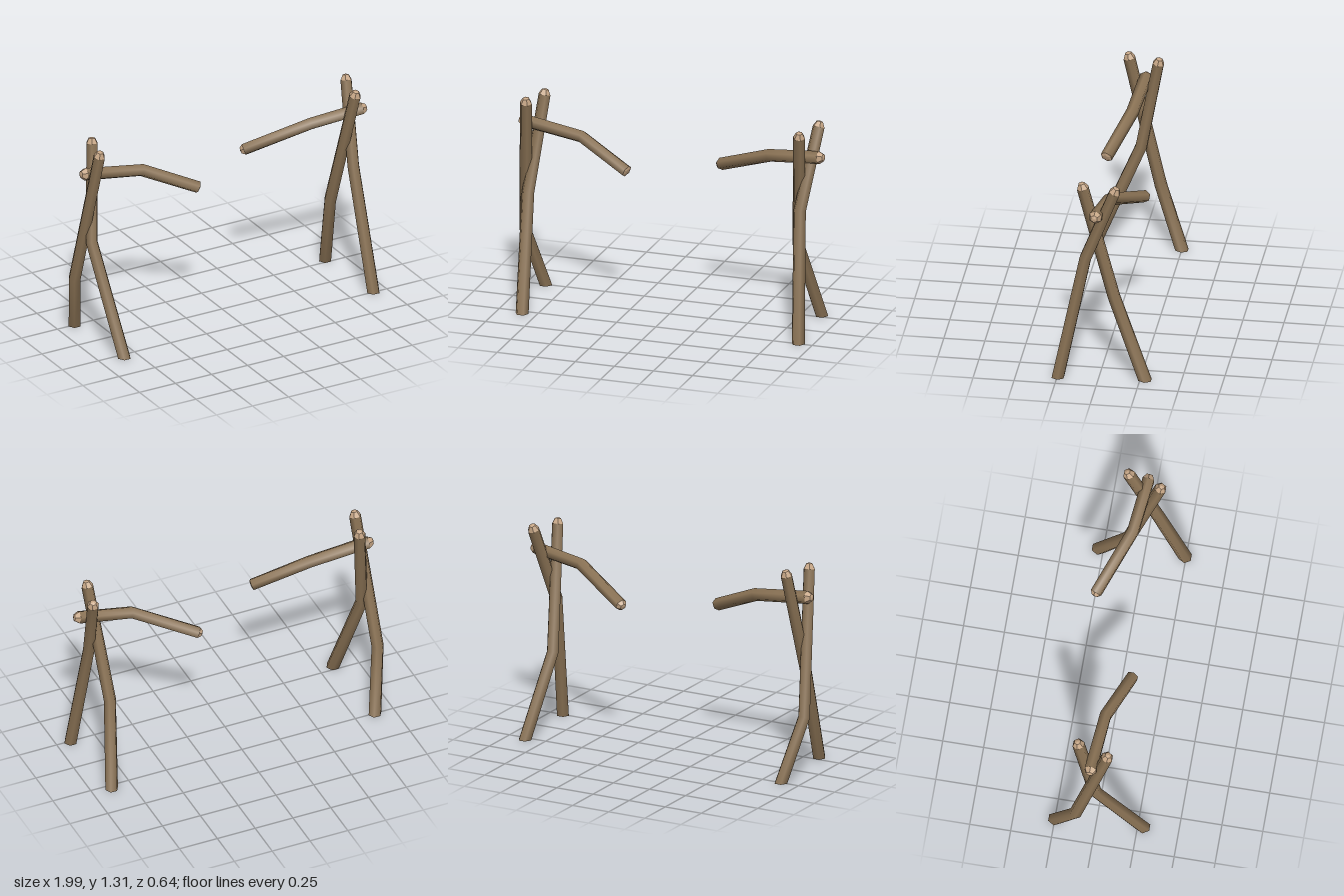
import * as THREE from 'three';

const SIDES = 6;
const bark = new THREE.MeshStandardMaterial({ color: 0x8b7355 });
bark.name = 'bark';
const cutWood = new THREE.MeshStandardMaterial({ color: 0xc4a484, flatShading: true });
cutWood.name = 'cut wood';

// One ring of points around an axis, counter-clockwise about that axis
function ring(centre, axis, ref, radius) {
  const u = ref.clone().addScaledVector(axis, -ref.dot(axis)).normalize();
  const v = axis.clone().cross(u);
  return Array.from({ length: SIDES }, (_, i) => {
    const a = (i / SIDES) * Math.PI * 2;
    return centre.clone().addScaledVector(u, Math.cos(a) * radius).addScaledVector(v, Math.sin(a) * radius);
  });
}

// Skin between successive rings, smooth around the log
function skin(rings) {
  const index = [];
  for (let k = 0; k < rings.length - 1; k++) {
    for (let i = 0; i < SIDES; i++) {
      const j = (i + 1) % SIDES, a = k * SIDES, b = a + SIDES;
      index.push(a + i, a + j, b + j, a + i, b + j, b + i);
    }
  }
  const g = new THREE.BufferGeometry().setFromPoints(rings.flat());
  g.setIndex(index);
  g.computeVertexNormals();
  return g;
}

// Faceted end: chamfer to a smaller ring, then a shallow point
function endCap(rim, inner, tip, flip) {
  const pts = [];
  const tri = (a, b, c) => (flip ? pts.push(a, c, b) : pts.push(a, b, c));
  for (let i = 0; i < SIDES; i++) {
    const j = (i + 1) % SIDES;
    if (inner) {
      tri(rim[i], rim[j], inner[j]);
      tri(rim[i], inner[j], inner[i]);
      tri(inner[i], inner[j], tip);
    } else tri(rim[i], rim[j], tip);
  }
  const g = new THREE.BufferGeometry().setFromPoints(pts);
  g.computeVertexNormals();
  return g;
}

// A bent log through three points; start and end are the extreme tips
function log(name, points, { foot = false, r0 = 0.041, r1 = 0.038, startTip = 0.035, endTip = 0.038 } = {}) {
  const [a, b, c] = points.map((p) => new THREE.Vector3(...p));
  const ref = foot ? new THREE.Vector3(1, 0, 0) : new THREE.Vector3(0, 1, 0);
  const t0 = b.clone().sub(a).normalize();
  const t1 = c.clone().sub(b).normalize();
  const tm = t0.clone().add(t1).normalize();

  const base = foot ? a : a.clone().addScaledVector(t0, startTip);
  const start = ring(base, t0, ref, r0);
  // Feet are cut level with the ground
  if (foot) start.forEach((p) => p.addScaledVector(t0, -p.y / t0.y));
  const bend = ring(b, tm, ref, (r0 + r1) / 2);
  const end = ring(c.clone().addScaledVector(t1, -endTip), t1, ref, r1);

  const startInner = foot ? null : ring(a.clone().addScaledVector(t0, startTip * 0.15), t0, ref, r0 * 0.55);
  const endInner = ring(c.clone().addScaledVector(t1, -endTip * 0.15), t1, ref, r1 * 0.55);

  const g = new THREE.Group();
  g.name = name;
  const add = (part, geo, mat) => {
    const m = new THREE.Mesh(geo, mat);
    m.name = part;
    g.add(m);
  };
  add('bark', skin([start, bend, end]), bark);
  add('startCut', endCap(start, startInner, a, true), cutWood);
  add('endCut', endCap(end, endInner, c, false), cutWood);
  return g;
}

export function createModel() {
  const model = new THREE.Group();
  model.name = 'brokenLogFrame';

  // Right-hand trestle
  const right = new THREE.Group();
  right.name = 'rightTrestle';
  right.add(
    log('rightBackLeg', [[-0.88, 0, -0.25], [-0.96, 0.39, -0.11], [-0.89, 1.305, 0.08]], { foot: true }),
    log('rightFrontLeg', [[-0.842, 0, 0.285], [-0.905, 0.67, 0.0], [-0.835, 1.305, -0.12]], { foot: true }),
    log('rightBrokenBar', [[-0.97, 1.125, -0.025], [-0.56, 1.07, 0.005], [-0.225, 0.92, 0.118]], { endTip: 0.008 })
  );

  // Left-hand trestle
  const left = new THREE.Group();
  left.name = 'leftTrestle';
  left.add(
    log('leftBackLeg', [[0.875, 0, -0.28], [0.797, 0.51, -0.08], [0.868, 1.3, 0.11]], { foot: true }),
    log('leftFrontLeg', [[0.91, 0, 0.245], [0.862, 0.79, 0.085], [0.922, 1.308, -0.115]], { foot: true }),
    log('leftBrokenBar', [[0.995, 1.122, 0.015], [0.63, 1.08, -0.028], [0.24, 0.918, -0.2]], { endTip: 0.025 })
  );

  model.add(right, left);
  return model;
}
